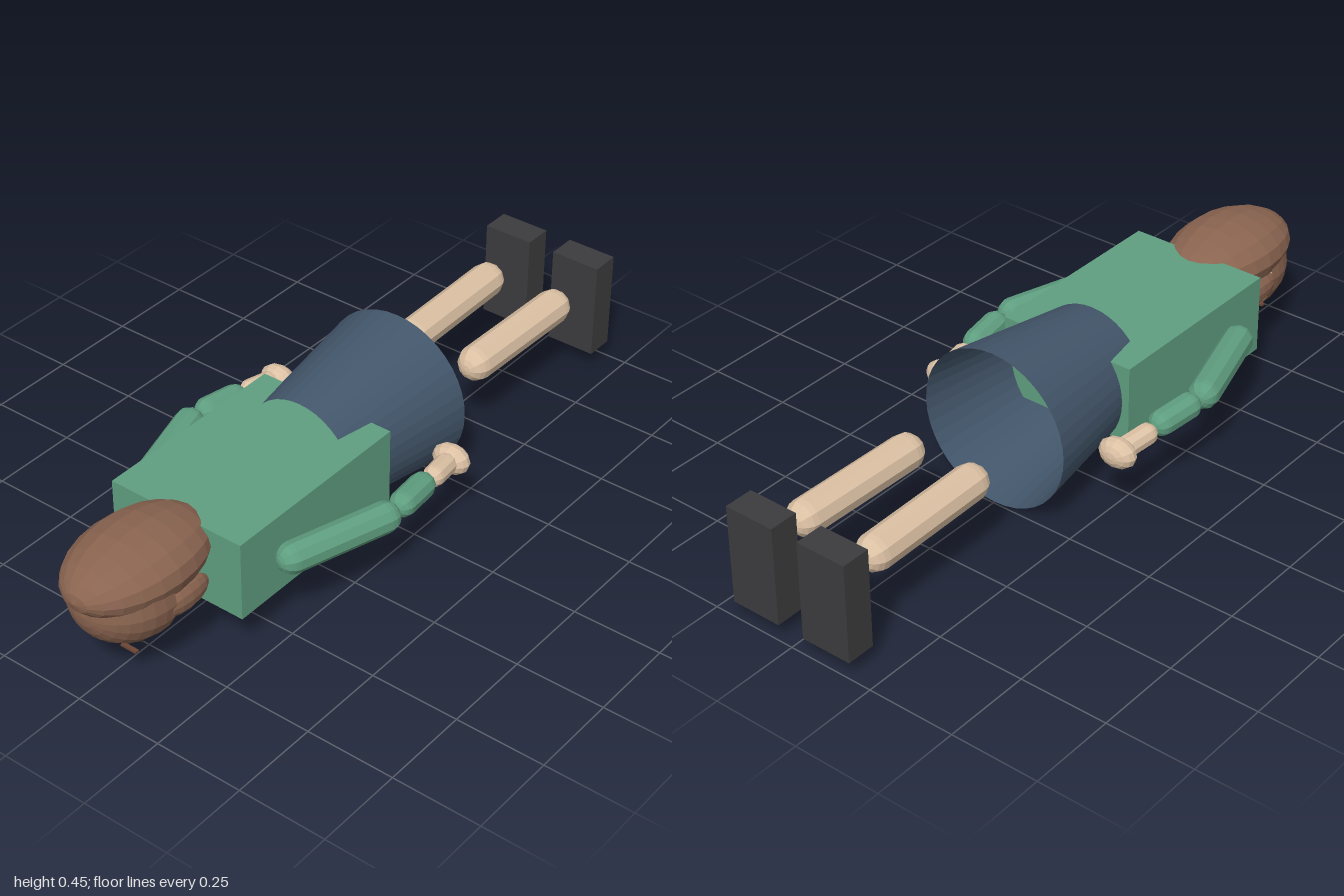
import * as THREE from 'three';

const mat = (color) => new THREE.MeshStandardMaterial({ color, flatShading: true, side: THREE.DoubleSide });

// Figure lying face down: head towards +z, face towards -y.
export function createModel() {
  const model = new THREE.Group();
  const green = mat(0x5f9e80), navy = mat(0x43566b), skin = mat(0xdcc1a4);
  const hair = mat(0x8a6450), dark = mat(0x3c3c3e), black = mat(0x222222);
  const grey = mat(0x5a5a5c), brow = mat(0x6b4634), lip = mat(0xb5705f);

  const add = (name, geometry, material, x = 0, y = 0, z = 0) => {
    const mesh = new THREE.Mesh(geometry, material);
    mesh.name = name;
    mesh.position.set(x, y, z);
    model.add(mesh);
    return mesh;
  };
  const box = (name, material, size, pos) => add(name, new THREE.BoxGeometry(...size), material, ...pos);

  // Ellipsoid with its poles along z
  const ellipsoid = (name, material, radii, pos, sweep = Math.PI, w = 16, h = 12) => {
    const g = new THREE.SphereGeometry(1, w, h, 0, Math.PI * 2, 0, sweep);
    g.rotateX(Math.PI / 2).scale(...radii);
    return add(name, g, material, ...pos);
  };

  // Capsule between two sphere centres
  const limb = (name, material, r, from, to) => {
    const a = new THREE.Vector3(...from), b = new THREE.Vector3(...to);
    const dir = b.clone().sub(a), mid = a.clone().add(b).multiplyScalar(0.5);
    const mesh = add(name, new THREE.CapsuleGeometry(r, dir.length(), 5, 10), material, mid.x, mid.y, mid.z);
    mesh.quaternion.setFromUnitVectors(new THREE.Vector3(0, 1, 0), dir.normalize());
  };

  // Torso and flared open skirt
  box('torso', green, [0.41, 0.227, 0.585], [0, 0.2285, 0.3425]);
  const skirt = new THREE.CylinderGeometry(0.168, 0.226, 0.405, 40, 1, true).rotateX(Math.PI / 2);
  add('skirt', skirt, navy, 0, 0.229, -0.0425);

  // Shirt front with buttons
  box('shirtFront', grey, [0.12, 0.015, 0.3], [0, 0.1085, 0.415]);
  for (const z of [0.34, 0.47]) {
    add('button', new THREE.CylinderGeometry(0.011, 0.011, 0.008, 10), black, 0, 0.099, z);
  }

  // Head and hair
  ellipsoid('head', skin, [0.125, 0.125, 0.145], [0, 0.235, 0.81], Math.PI, 20, 14);
  ellipsoid('hairCap', hair, [0.143, 0.134, 0.16], [0, 0.236, 0.81], Math.PI * 0.53, 20, 8);
  ellipsoid('backHair', hair, [0.147, 0.091, 0.222], [0, 0.294, 0.775]);

  // Face
  ellipsoid('nose', skin, [0.01, 0.01, 0.011], [0, 0.092, 0.785], Math.PI, 10, 8);
  box('mouth', lip, [0.06, 0.009, 0.011], [0, 0.088, 0.74]);

  for (const s of [1, -1]) {
    box('eyebrow', brow, [0.048, 0.006, 0.012], [s * 0.046, 0.096, 0.865]);
    ellipsoid('eye', black, [0.015, 0.005, 0.013], [s * 0.046, 0.102, 0.83], Math.PI, 10, 8);
    ellipsoid('sideHair', hair, [0.03, 0.042, 0.082], [s * 0.121, 0.222, 0.745], Math.PI, 12, 8);

    // Jacket details
    box('lapel', green, [0.047, 0.018, 0.31], [s * 0.0815, 0.106, 0.415]);
    box('pocket', dark, [0.068, 0.014, 0.03], [s * 0.136, 0.108, 0.12]);

    // Arm
    limb('upperArm', green, 0.042, [s * 0.24, 0.23, 0.485], [s * 0.32, 0.23, 0.222]);
    limb('forearm', green, 0.036, [s * 0.321, 0.229, 0.147], [s * 0.309, 0.223, 0.054]);
    limb('wrist', skin, 0.03, [s * 0.304, 0.216, -0.007], [s * 0.294, 0.21, -0.07]);
    ellipsoid('hand', skin, [0.055, 0.042, 0.036], [s * 0.287, 0.205, -0.103], Math.PI, 12, 8);

    // Leg and shoe
    limb('leg', skin, 0.05, [s * 0.105, 0.232, -0.463], [s * 0.112, 0.232, -0.815]);
    box('shoe', dark, [0.147, 0.283, 0.083], [s * 0.1135, 0.1915, -0.9585]);
  }
  return model;
}
